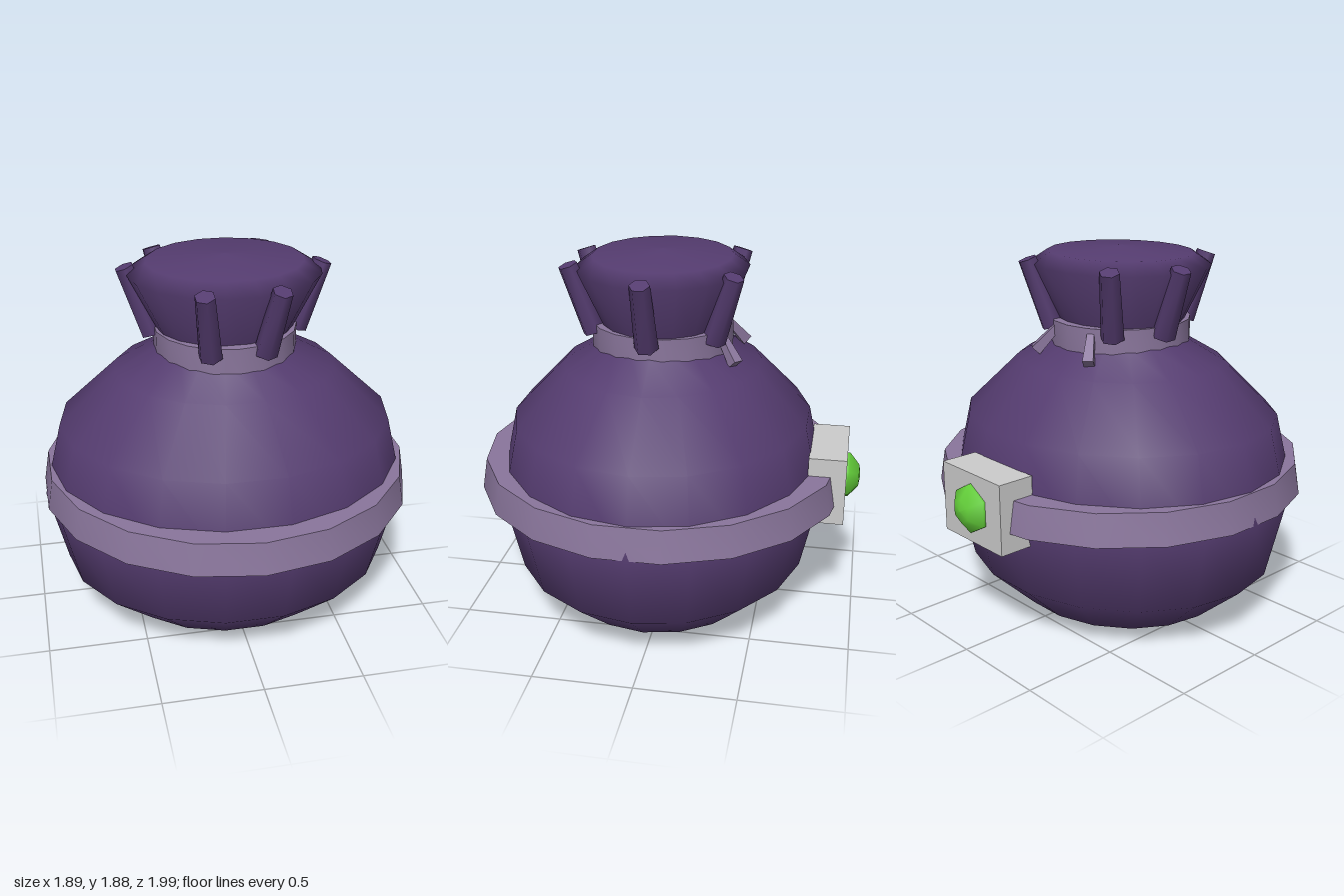
import * as THREE from 'three';
import { toCreasedNormals } from 'three/addons/utils/BufferGeometryUtils.js';

const SIDES = 18;
const CENTRE_Z = 0.037;

const material = (color) => new THREE.MeshStandardMaterial({ color });

function lathe(points, phiStart = 0) {
  return new THREE.LatheGeometry(points.map(([r, y]) => new THREE.Vector2(r, y)), SIDES, phiStart);
}

// Closed ring with a sloped outer wall
function ring(rBottom, rTop, rInner, y0, y1) {
  return toCreasedNormals(
    lathe([[rBottom, y0], [rTop, y1], [rInner, y1], [rInner, y0], [rBottom, y0]]), 0.6);
}

export function createModel() {
  const group = new THREE.Group();
  const cloth = material(0x553c70);
  const strap = material(0x8a769c);
  const metal = material(0xcccccc);
  const green = material(0x64d03a);

  const add = (name, geometry, mat, x = 0, y = 0, z = CENTRE_Z) => {
    const mesh = new THREE.Mesh(geometry, mat);
    mesh.name = name;
    mesh.position.set(x, y, z);
    group.add(mesh);
    return mesh;
  };

  // Tapered rod between two points
  const rod = (name, from, to, rFrom, rTo, sides, mat) => {
    const a = new THREE.Vector3(...from), b = new THREE.Vector3(...to);
    const dir = b.clone().sub(a);
    const geometry = toCreasedNormals(
      new THREE.CylinderGeometry(rTo, rFrom, dir.length(), sides), 1.2);
    const mid = a.add(b).multiplyScalar(0.5);
    const mesh = add(name, geometry, mat, mid.x, mid.y, mid.z);
    mesh.quaternion.setFromUnitVectors(new THREE.Vector3(0, 1, 0), dir.normalize());
    return mesh;
  };

  // Sack: belly, neck and gathered mouth in one slightly flattened lathe
  const sack = add('sack', lathe([
    [0, 0], [0.59, 0.035], [0.85, 0.26], [0.945, 0.65], [0.85, 1.04],
    [0.56, 1.31], [0.34, 1.43], [0.34, 1.52], [0.48, 1.8], [0.39, 1.857], [0, 1.885],
  ], Math.PI / SIDES), cloth);
  sack.scale.z = 0.9;

  // Waist strap and neck tie
  add('waistStrap', ring(0.955, 0.928, 0.8, 0.655, 0.815), strap);
  add('neckTie', ring(0.358, 0.358, 0.28, 1.4, 1.527), strap);

  // Loose ends of the tie at the back
  for (const side of [-1, 1]) {
    rod('tieEnd', [side * 0.13, 1.49, -0.28], [side * 0.2, 1.375, -0.36], 0.025, 0.038, 4, strap);
  }

  // Cloth folds flaring out around the mouth
  const foldTops = [
    [-0.18, 0.475], [0.18, 0.475], [0.485, 0.055], [-0.485, -0.03], [0.265, -0.35], [-0.31, -0.325],
  ];
  for (const [x, z] of foldTops) {
    const k = 0.74;
    rod('mouthFold', [x * k, 1.485, CENTRE_Z + (z - CENTRE_Z) * k], [x, 1.825, z], 0.06, 0.05, 6, cloth);
  }

  // Buckle plate on the back with a domed six-sided gem
  add('buckle', new THREE.BoxGeometry(0.45, 0.355, 0.19), metal, 0, 0.733, -0.835);
  const dome = [[0.125, 0], [0.125, 0.015], [0.06, 0.065], [0, 0.072]]
    .map(([r, y]) => new THREE.Vector2(r, y));
  const gem = add('gem', new THREE.LatheGeometry(dome, 6), green, 0, 0.733, -0.928);
  gem.rotation.x = -Math.PI / 2;

  return group;
}
